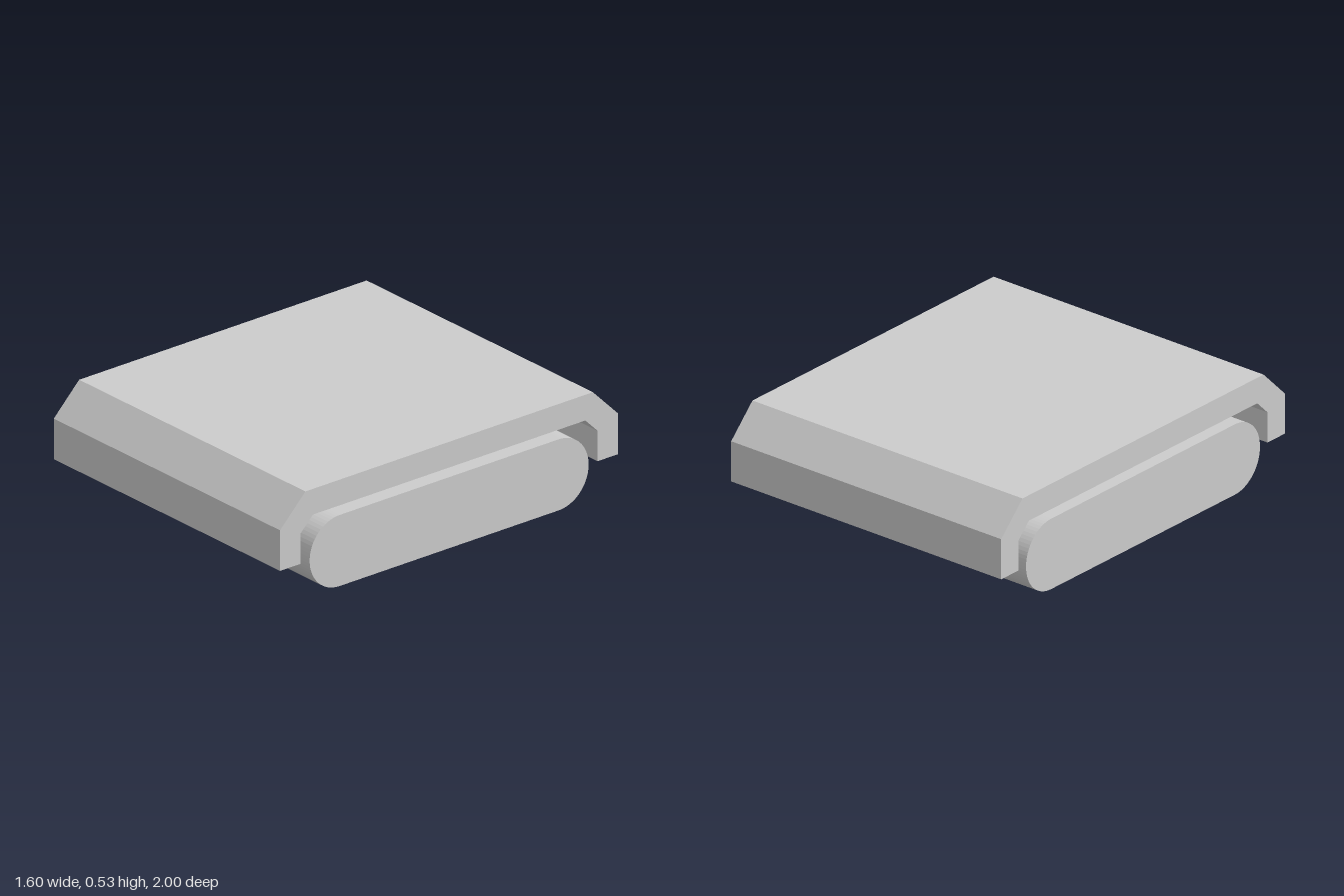
import * as THREE from 'three';

const material = new THREE.MeshStandardMaterial({ color: 0xcccccc, flatShading: true });

// Extrudes a side profile (z, y) across the width, centred on x
function acrossWidth(shape, width, name, x = 0) {
  const geometry = new THREE.ExtrudeGeometry(shape, { depth: width, bevelEnabled: false, curveSegments: 16 });
  geometry.translate(0, 0, -width / 2);
  geometry.rotateY(Math.PI / 2);
  const mesh = new THREE.Mesh(geometry, material);
  mesh.name = name;
  mesh.position.x = x;
  return mesh;
}

function box(name, w, h, d, y) {
  const mesh = new THREE.Mesh(new THREE.BoxGeometry(w, h, d), material);
  mesh.name = name;
  mesh.position.y = y;
  return mesh;
}

export function createModel() {
  const group = new THREE.Group();
  group.name = 'trackedBase';

  // Top cover: a constant-thickness shell with chamfered shoulders
  const half = [[0.85, 0.53], [1, 0.38], [1, 0.178], [0.878, 0.178], [0.878, 0.33], [0.805, 0.402]];
  const mirrored = half.map(([z, y]) => [-z, y]).reverse();
  const cover = new THREE.Shape([...half, ...mirrored].map(([z, y]) => new THREE.Vector2(z, y)));
  group.add(acrossWidth(cover, 1.6, 'cover'));

  // Rounded tracks on both sides
  const r = 0.177, reach = 0.648;
  const track = new THREE.Shape();
  track.absarc(reach, r, r, -Math.PI / 2, Math.PI / 2, false);
  track.absarc(-reach, r, r, Math.PI / 2, Math.PI * 1.5, false);
  track.closePath();
  group.add(acrossWidth(track, 0.45, 'leftTrack', 0.575));
  group.add(acrossWidth(track, 0.45, 'rightTrack', -0.575));

  // Spine under the cover and the block joining the tracks
  group.add(box('spine', 0.61, 0.1, 1.77, 0.377));
  group.add(box('centreBlock', 0.7, 0.14, 0.7, 0.255));

  return group;
}
